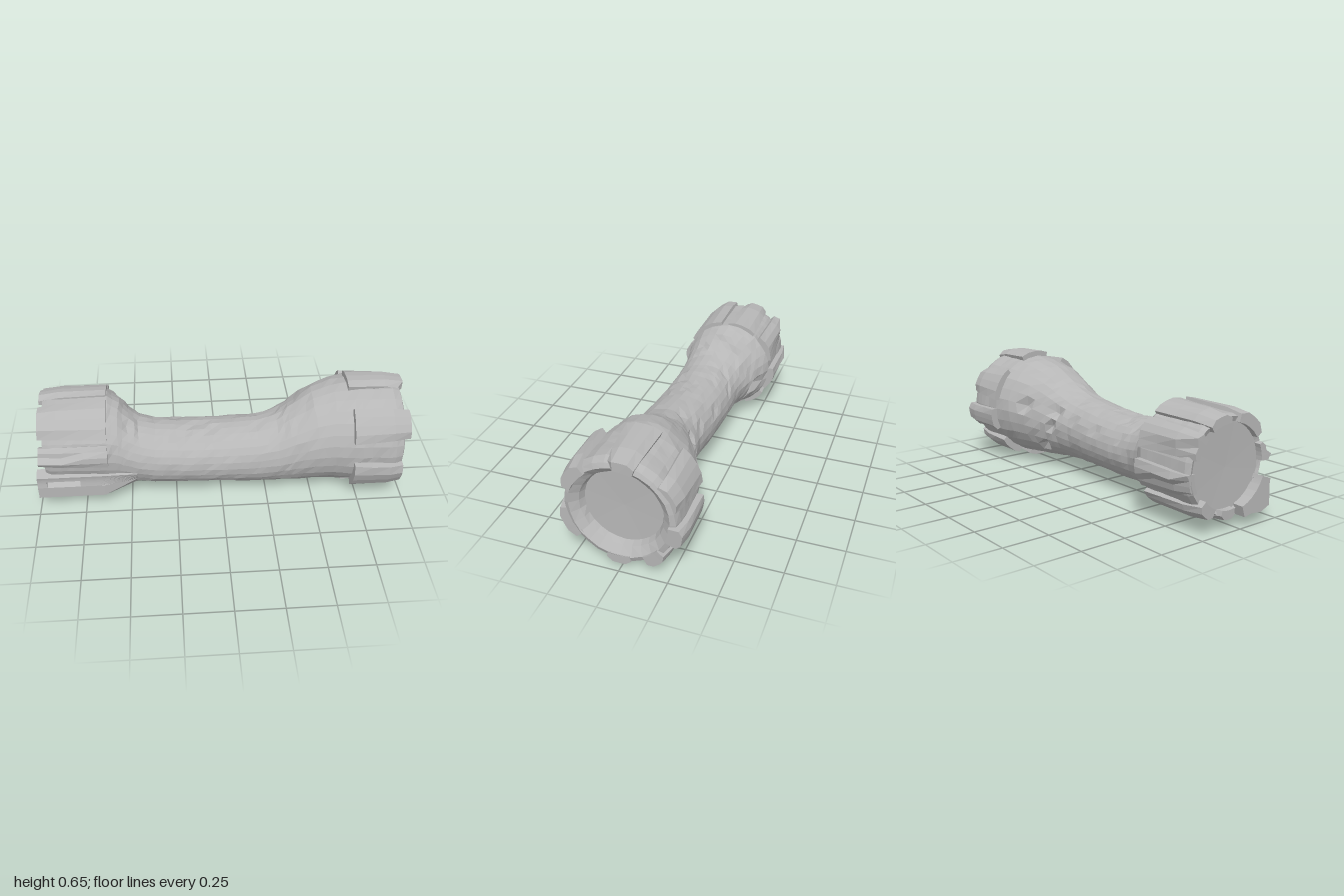
import * as THREE from 'three';

// small seeded random, so the chipped look is repeatable
function seeded(seed) {
  let s = seed;
  return () => ((s = (s * 16807) % 2147483647) / 2147483647);
}

const DEG = Math.PI / 180;

function faceted(geometry) {
  const flat = geometry.index ? geometry.toNonIndexed() : geometry;
  flat.computeVertexNormals();
  return flat;
}

// Stations along x: [x, bottom, top, back z, front z]
const BODY = [
  [-0.935, 0.3, 0.3, -0.05, -0.05], [-0.94, 0.09, 0.52, -0.265, 0.165],
  [-0.95, 0.075, 0.545, -0.285, 0.185],
  [-0.92, 0.06, 0.555, -0.295, 0.195], [-0.61, 0.05, 0.565, -0.295, 0.207],
  [-0.55, 0.055, 0.53, -0.25, 0.2], [-0.5, 0.065, 0.475, -0.213, 0.2],
  [-0.44, 0.07, 0.435, -0.182, 0.203], [-0.36, 0.067, 0.415, -0.168, 0.208],
  [-0.2, 0.066, 0.405, -0.165, 0.216], [0, 0.065, 0.412, -0.155, 0.225],
  [0.2, 0.06, 0.432, -0.137, 0.234], [0.3, 0.058, 0.46, -0.148, 0.238],
  [0.4, 0.05, 0.52, -0.185, 0.246], [0.5, 0.044, 0.58, -0.23, 0.256],
  [0.6, 0.04, 0.61, -0.272, 0.267], [0.7, 0.033, 0.62, -0.293, 0.286],
  [0.92, 0.033, 0.618, -0.293, 0.293], [0.96, 0.045, 0.605, -0.28, 0.28],
  [0.97, 0.07, 0.58, -0.255, 0.255], [0.935, 0.11, 0.54, -0.215, 0.215],
  [0.9, 0.122, 0.528, -0.202, 0.202], [0.895, 0.325, 0.325, 0, 0],
];

// Small holes in the necks: [x, angle from the top towards +z]
const HOLES = [[0.5, -80], [0.33, -95], [0.32, -60], [0.4, -130], [-0.54, -105], [-0.54, -150]];

function bodyGeometry() {
  const rnd = seeded(71);
  const sides = 28;
  const rings = [];
  BODY.forEach((a, i) => {
    const b = BODY[i + 1];
    const n = b ? Math.max(1, Math.ceil(Math.abs(b[0] - a[0]) / 0.05)) : 1;
    for (let k = 0; k < n; k++) rings.push(b ? a.map((v, c) => v + (b[c] - v) * k / n) : a);
  });
  const pos = [], index = [];
  rings.forEach(([x, y0, y1, z0, z1]) => {
    for (let j = 0; j < sides; j++) {
      const a = (j / sides) * Math.PI * 2;
      const deg = a / DEG > 180 ? a / DEG - 360 : a / DEG;
      // the top of the grip carries a rougher, pitted patch
      const onGrip = x > -0.38 && x < 0.28 && deg > -75 && deg < 45;
      let f = 1 + (rnd() - 0.5) * 0.022;
      if (onGrip && rnd() < 0.15) f -= 0.05;
      if (HOLES.some(([hx, ha]) => Math.abs(hx - x) < 0.024 && Math.abs(ha - deg) < 6.5)) f -= 0.13;
      const dx = Math.abs(x) < 0.88 ? (rnd() - 0.5) * 0.02 : 0;
      pos.push(x + dx,
        (y0 + y1) / 2 + Math.cos(a) * f * (y1 - y0) / 2,
        (z0 + z1) / 2 + Math.sin(a) * f * (z1 - z0) / 2);
    }
  });
  for (let i = 0; i < rings.length - 1; i++) {
    for (let j = 0; j < sides; j++) {
      const p = i * sides + j, q = i * sides + (j + 1) % sides;
      index.push(p, q, p + sides, q, q + sides, p + sides);
    }
  }
  const g = new THREE.BufferGeometry();
  g.setAttribute('position', new THREE.Float32BufferAttribute(pos, 3));
  g.setIndex(index);
  return faceted(g);
}

// A rough raised rib: a box bent around the x axis, worn and chipped at its outer tip.
// bulge pushes out a corner at 135 degrees that fades towards the grip.
function ribGeometry({ x0, x1, a0, a1, inner, outer, cy, cz, tip, seed, chip = 1, bulge = 0 }) {
  const g = faceted(new THREE.BoxGeometry(1, 1, 1, 3, 1, 4));
  const p = g.attributes.position;
  for (let i = 0; i < p.count; i++) {
    const u = p.getX(i) + 0.5, v = p.getY(i) + 0.5, w = p.getZ(i) + 0.5;
    // chips depend only on the grid place, so shared corners stay together
    const rnd = seeded(seed * 997 + Math.round(u * 3) * 131 + Math.round(w * 4) * 37 + 11);
    rnd(); rnd();
    const x = x0 + (x1 - x0) * u;
    const nearTip = tip > 0 ? u : 1 - u;
    const atTip = nearTip > 0.95;
    const chipR = (rnd() - 0.6) * chip * (0.01 + 0.022 * nearTip);
    const chipX = rnd() * 0.035;
    const edge = w < 0.01 || w > 0.99 ? chip * (0.006 + 0.012 * nearTip) : 0;
    const spread = (a1 - a0) * (1 - 0.14 * chip * nearTip);
    const deg = (a0 + a1) / 2 + (w - 0.5) * spread;
    const fade = Math.min(1, Math.max(0, (-0.46 - x) / 0.17));
    const corner = bulge * fade * Math.exp(-(((deg - 135) / 13) ** 2));
    const r = v < 0.5 ? inner : outer + corner + chipR - edge - (atTip ? 0.014 * chip : 0);
    p.setXYZ(i, x - (atTip ? tip * chip * chipX : 0),
      cy + r * Math.cos(deg * DEG), cz + r * Math.sin(deg * DEG));
  }
  g.computeVertexNormals();
  return g;
}

export function createModel() {
  const group = new THREE.Group();
  const stone = new THREE.MeshStandardMaterial({ color: 0xb6b6b6 });
  stone.name = 'grey';

  const add = (name, geometry) => {
    const mesh = new THREE.Mesh(geometry, stone);
    mesh.name = name;
    group.add(mesh);
  };

  add('body', bodyGeometry());

  // ribs around the large head
  const headRibs = [[-21, 12], [36, 71], [96, 134], [163, 193],
    [206, 232], [246, 270], [281, 317]];
  headRibs.forEach(([a0, a1], i) => add('headRib', ribGeometry({
    x0: 0.68 + (i % 3) * 0.01, x1: 0.985 + (i % 2) * 0.015, a0, a1,
    inner: 0.25, outer: 0.328, cy: 0.325, cz: 0, tip: 1, seed: i + 3,
  })));

  // ribs around the small tail
  const tail = { inner: 0.21, cy: 0.31, cz: -0.05, tip: -1 };
  const tailRibs = [[-76, -42], [-34, 3], [12, 61], [67, 94],
    [169, 196], [204, 232], [240, 272]];
  tailRibs.forEach(([a0, a1], i) => add('tailRib', ribGeometry({
    ...tail, x0: -0.98 - (i % 3) * 0.01, x1: -0.61, a0, a1, outer: 0.277, seed: i + 23,
  })));

  // long lower tail rib with a slot cut through it
  const slotted = [[-1, -0.46, 111, 117], [-1, -0.46, 123, 163],
    [-1, -0.95, 117, 123], [-0.77, -0.46, 117, 123]];
  slotted.forEach(([x0, x1, a0, a1], i) => add('slottedRib', ribGeometry({
    ...tail, x0, x1, a0, a1, outer: 0.268, seed: i + 41, chip: 0, bulge: 0.075,
  })));

  return group;
}
